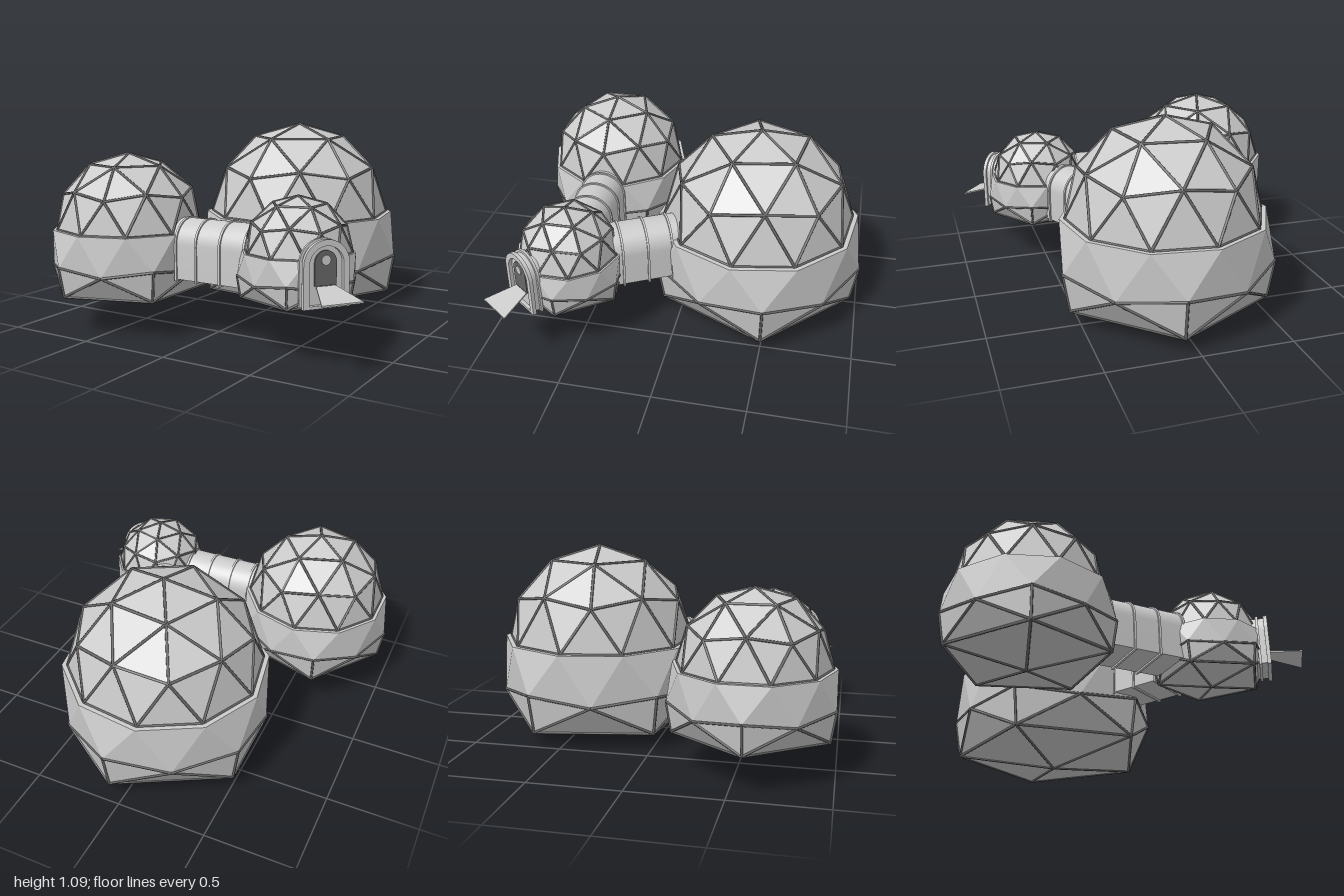
import * as THREE from 'three';
import { mergeGeometries, toCreasedNormals } from 'three/addons/utils/BufferGeometryUtils.js';

const grey = new THREE.MeshStandardMaterial({ color: 0xcccccc, flatShading: true, side: THREE.DoubleSide });
const smooth = new THREE.MeshStandardMaterial({ color: 0xcccccc });
const dark = new THREE.MeshStandardMaterial({ color: 0x666666 });

function add(parent, name, geometry, material) {
  const mesh = new THREE.Mesh(geometry, material);
  mesh.name = name;
  parent.add(mesh);
  return mesh;
}

// Lower half of the sphere is flared outward, ring by ring
function flare(v) {
  const k = v.y > -0.1 ? 1.06 : v.y > -0.7 ? 1.25 : 2;
  return new THREE.Vector3(v.x * k, v.y, v.z * k);
}

function strutGeometry(a, b, radius) {
  const dir = b.clone().sub(a);
  const g = new THREE.CylinderGeometry(radius, radius, dir.length(), 6);
  g.applyQuaternion(new THREE.Quaternion().setFromUnitVectors(new THREE.Vector3(0, 1, 0), dir.normalize()));
  return g.translate((a.x + b.x) / 2, (a.y + b.y) / 2, (a.z + b.z) / 2);
}

function facets(points) {
  const g = new THREE.BufferGeometry().setFromPoints(points);
  g.computeVertexNormals();
  return g;
}

// Geodesic dome on a flared base, with struts along its edges
function makeDome(name, x, y, z, R, yaw) {
  const dome = new THREE.Group();
  dome.name = name;
  dome.position.set(x, y, z);
  dome.rotation.y = yaw;
  const sphere = new THREE.IcosahedronGeometry(1, 1);
  sphere.rotateZ(-Math.atan(2 / (1 + Math.sqrt(5))));
  const pos = sphere.attributes.position;
  const upper = [], lower = [], struts = [], seen = new Set();
  const key = (v) => [v.x, v.y, v.z].map((n) => Math.round(n * 100)).join();
  for (let i = 0; i < pos.count; i += 3) {
    const tri = [0, 1, 2].map((j) => new THREE.Vector3().fromBufferAttribute(pos, i + j));
    const isUpper = tri.every((v) => v.y > -0.01);
    const placed = tri.map((v) => (isUpper ? v.clone() : flare(v)).multiplyScalar(R));
    (isUpper ? upper : lower).push(...placed);
    for (let j = 0; j < 3; j++) {
      const k = (j + 1) % 3;
      // the smooth belt below the equator carries no struts
      if (!isUpper && (tri[j].y > -0.1 || tri[k].y > -0.1)) continue;
      const id = [key(tri[j]), key(tri[k])].sort().join('|');
      if (seen.has(id)) continue;
      seen.add(id);
      struts.push(strutGeometry(placed[j], placed[k], 0.005 + 0.005 * R));
    }
  }
  add(dome, 'domePanels', facets(upper), grey);
  add(dome, 'baseSkirt', facets(lower), grey);
  add(dome, 'struts', mergeGeometries(struts), dark);
  const lip = new THREE.RingGeometry(R * 0.96, R * 1.06, 10, 1, Math.PI / 10);
  add(dome, 'skirtLip', lip.rotateX(-Math.PI / 2), grey);
  return dome;
}

// Round-topped outline, optionally with a smaller arch cut out
function arch(Type, w, bottom, spring) {
  const s = new Type();
  s.moveTo(-w, bottom);
  s.lineTo(w, bottom);
  s.lineTo(w, spring);
  s.absarc(0, spring, w, 0, Math.PI, false);
  s.closePath();
  return s;
}

function archSolid(w, bottom, spring, z0, z1, hole) {
  const s = arch(THREE.Shape, w, bottom, spring);
  if (hole) s.holes.push(arch(THREE.Path, ...hole));
  const g = new THREE.ExtrudeGeometry(s, { depth: z1 - z0, bevelEnabled: false, curveSegments: 16 });
  return toCreasedNormals(g.translate(0, 0, z0), 0.5);
}

// Arched corridor with ribs; distances run from the first dome's centre
function makeTunnel(name, from, to, start, end, ribs) {
  const tunnel = new THREE.Group();
  tunnel.name = name;
  tunnel.position.set(from[0], 0, from[1]);
  tunnel.rotation.y = Math.atan2(to[0] - from[0], to[1] - from[1]);
  add(tunnel, 'tunnelBody', archSolid(0.128, 0.315, 0.495, start, end), smooth);
  for (const r of ribs) {
    add(tunnel, 'tunnelRib', archSolid(0.136, 0.305, 0.495, r - 0.006, r + 0.006), smooth);
  }
  return tunnel;
}

function makeEntrance(x, z, angle) {
  const entrance = new THREE.Group();
  entrance.name = 'entrance';
  entrance.position.set(x, 0, z);
  entrance.rotation.y = angle;
  add(entrance, 'porchBody', archSolid(0.105, 0.31, 0.505, 0.12, 0.3), smooth);
  add(entrance, 'innerFlange', archSolid(0.118, 0.3, 0.505, 0.258, 0.272), smooth);
  add(entrance, 'doorFrame', archSolid(0.118, 0.3, 0.505, 0.3, 0.32, [0.088, 0.315, 0.505]), smooth);
  // Dark door with a round window
  add(entrance, 'door', archSolid(0.056, 0.405, 0.515, 0.29, 0.309), dark);
  const glass = new THREE.CylinderGeometry(0.024, 0.024, 0.012, 20).rotateX(Math.PI / 2);
  add(entrance, 'doorWindow', glass, smooth).position.set(0, 0.525, 0.308);
  // Ramp, flaring and sloping down away from the door
  const ramp = new THREE.BoxGeometry(1, 0.008, 0.17);
  const p = ramp.attributes.position;
  for (let i = 0; i < p.count; i++) {
    const outer = p.getZ(i) > 0;
    p.setX(i, p.getX(i) * (outer ? 0.21 : 0.1));
    p.setY(i, p.getY(i) + (outer ? 0.357 : 0.4));
  }
  ramp.computeVertexNormals();
  add(entrance, 'ramp', ramp.translate(0, 0, 0.395), smooth);
  return entrance;
}

export function createModel() {
  const model = new THREE.Group();
  model.name = 'domeHabitat';
  const big = [0, -0.4], medium = [-0.54, 0.57], small = [0.515, 0.567];
  const deg = Math.PI / 180;
  model.add(
    makeDome('largeDome', big[0], 0.545, big[1], 0.537, -97.5 * deg),
    makeDome('mediumDome', medium[0], 0.548, medium[1], 0.4, 0),
    makeDome('smallDome', small[0], 0.515, small[1], 0.27, Math.PI),
    makeTunnel('sideTunnel', medium, small, 0.34, 0.86, [0.405, 0.53, 0.675, 0.82]),
    makeTunnel('backTunnel', big, small, 0.45, 0.9, [0.545, 0.68, 0.82]),
    makeEntrance(small[0], small[1], 53 * deg),
  );
  return model;
}
